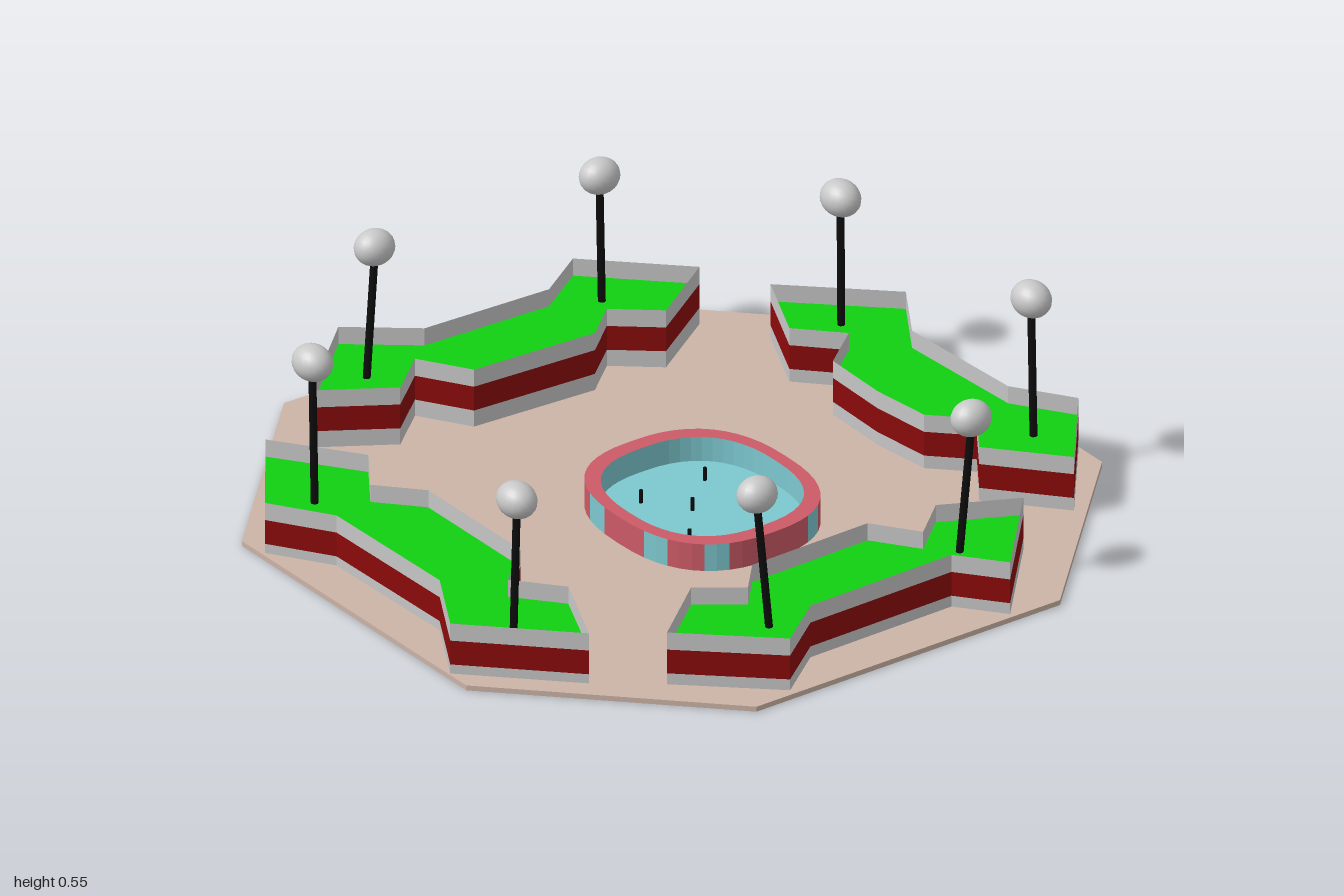
import * as THREE from 'three';

const mat = (name, color, side = THREE.DoubleSide) => {
  const m = new THREE.MeshStandardMaterial({ color, side });
  m.name = name;
  return m;
};
const paving = mat('paving', 0xccb3a6);
const grass = mat('grass', 0x11d011);
const stone = mat('stone', 0xc6c6c6);
const redBand = mat('red band', 0x8a0a0a);
const poolRed = mat('pool rim', 0xcc5a66);
const poolBlue = mat('pool blue', 0x7cc8cf);
const iron = mat('iron', 0x0c0c0c);
const globe = mat('globe', 0xc8c8c8);

// Planter outlines as x, z pairs, with a small lift for each
const planters = [
  { name: 'frontPlanter', lift: 0, outline: [-.66, .78, -.44, .62, -.31, .71, -.2, .61, .19, .61, .3, .73,
    .42, .63, .65, .735, .4, .985, .2, .87, -.23, .875, -.39, .98] },
  { name: 'backPlanter', lift: .01, outline: [-.55, -.72, -.315, -.97, -.14, -.86, .24, -.88, .395, -.985, .64, -.79,
    .455, -.63, .33, -.715, .235, -.62, .065, -.6, -.13, -.605, -.225, -.725, -.335, -.62] },
  { name: 'rightSidePlanter', lift: .02, outline: [-.715, -.62, -.58, -.415, -.675, -.3, -.59, -.2, -.615, .16, -.75, .245,
    -.65, .365, -.77, .555, -1, .3, -.865, .13, -.845, -.245, -.94, -.39] },
  { name: 'leftSidePlanter', lift: .005, outline: [.73, -.565, .985, -.335, .865, -.24, .87, .205, .98, .35, .77, .58,
    .615, .39, .7, .275, .61, .195, .605, -.17, .725, -.255, .63, -.365] },
];

// Lamps: globe x, y, z, then post foot x, z
const lamps = [
  [-.40, .505, .825, -.39, .825], [.445, .475, .81, .445, .82],
  [-.355, .475, -.795, -.345, -.79], [.405, .505, -.83, .415, -.83],
  [-.82, .49, .32, -.815, .35], [-.78, .495, -.355, -.79, -.37],
  [.80, .49, -.35, .79, -.32], [.82, .50, .335, .825, .30],
];

const toPoints = (flat) => {
  const pts = [];
  for (let i = 0; i < flat.length; i += 2) pts.push(new THREE.Vector2(flat[i], flat[i + 1]));
  return pts;
};

function add(parent, name, geometry, material) {
  const mesh = new THREE.Mesh(geometry, material);
  mesh.name = name;
  parent.add(mesh);
  return mesh;
}

// Horizontal sheet from a loop of x, z points, facing up
function sheet(pts, y) {
  const g = new THREE.ShapeGeometry(new THREE.Shape(pts.map((p) => new THREE.Vector2(p.x, -p.y))));
  return g.rotateX(-Math.PI / 2).translate(0, y, 0);
}

// Flat-faced band joining two closed loops at two heights
function band(a, ya, b, yb) {
  const pos = [];
  const n = a.length;
  for (let i = 0; i < n; i++) {
    const j = (i + 1) % n;
    const p = [a[i].x, ya, a[i].y], q = [a[j].x, ya, a[j].y];
    const r = [b[j].x, yb, b[j].y], s = [b[i].x, yb, b[i].y];
    pos.push(...p, ...r, ...q, ...p, ...s, ...r);
  }
  const g = new THREE.BufferGeometry();
  g.setAttribute('position', new THREE.Float32BufferAttribute(pos, 3));
  g.computeVertexNormals();
  return g;
}

// Rounded-square loop for the pool
function poolLoop(rx, rz, n = 48) {
  const soft = (v) => Math.sign(v) * Math.abs(v) ** 0.8;
  return Array.from({ length: n }, (_, i) => {
    const t = -(i / n) * Math.PI * 2;
    return new THREE.Vector2(rx * soft(Math.cos(t)), rz * soft(Math.sin(t)));
  });
}

function rod(parent, name, from, to, radius, material) {
  const d = to.clone().sub(from);
  const m = add(parent, name, new THREE.CylinderGeometry(radius, radius, d.length(), 10), material);
  m.position.copy(from).addScaledVector(d, 0.5);
  m.quaternion.setFromUnitVectors(new THREE.Vector3(0, 1, 0), d.normalize());
  return m;
}

function buildPlanter({ name, lift, outline }) {
  const group = new THREE.Group();
  group.name = name;
  let pts = toPoints(outline);
  // Same winding for every outline, so walls face outward
  if (THREE.ShapeUtils.area(pts) > 0) pts = pts.reverse();
  add(group, 'lowerWall', band(pts, .014, pts, .04 + lift), stone);
  add(group, 'redWall', band(pts, .04 + lift, pts, .108 + lift), redBand);
  add(group, 'upperWall', band(pts, .108 + lift, pts, .157 + lift), stone);
  add(group, 'lawn', sheet(pts, .108 + lift), grass);
  return group;
}

function buildPool() {
  const pool = new THREE.Group();
  pool.name = 'pool';
  pool.position.set(.095, 0, -.03);
  const outer = poolLoop(.3, .265), inner = poolLoop(.255, .23);
  // Patchy outer wall in two colours
  const wall = band(outer, .012, outer, .09);
  for (let i = 0; i < outer.length; i++) wall.addGroup(i * 6, 6, i % 5 < 3 ? 0 : 1);
  add(pool, 'outerWall', wall, [poolRed, poolBlue]);
  add(pool, 'rim', band(outer, .09, inner, .09), poolRed);
  add(pool, 'innerWall', band(inner, .02, inner, .09), poolBlue);
  add(pool, 'water', sheet(inner, .022), poolBlue);
  // Water jets
  for (const [x, z] of [[-.125, -.1], [.12, -.085], [-.015, .02], [-.125, .1], [.115, .125]])
    rod(pool, 'jet', new THREE.Vector3(x, .02, z), new THREE.Vector3(x, .058, z), .005, iron);
  // Small ladder on the front side
  for (const x of [-.05, -.03])
    rod(pool, 'ladderRail', new THREE.Vector3(x, .022, .165), new THREE.Vector3(x - .005, .075, .225), .003, stone);
  for (const t of [.3, .6])
    rod(pool, 'ladderRung', new THREE.Vector3(-.052, .022 + .053 * t, .165 + .06 * t),
      new THREE.Vector3(-.032, .022 + .053 * t, .165 + .06 * t), .002, stone);
  return pool;
}

export function createModel() {
  const model = new THREE.Group();
  model.name = 'plaza';

  // Octagonal paving slab
  const corners = toPoints([-.44, -1, .475, -1, 1, -.48, 1, .47, .475, .99, -.475, .99, -1, .47, -.96, -.48]);
  const slab = new THREE.ExtrudeGeometry(
    new THREE.Shape(corners.map((p) => new THREE.Vector2(p.x, -p.y))), { depth: .014, bevelEnabled: false });
  add(model, 'pavingSlab', slab.rotateX(-Math.PI / 2), paving);

  planters.forEach((p) => model.add(buildPlanter(p)));
  model.add(buildPool());

  // Globe lamps
  lamps.forEach(([x, y, z, fx, fz]) => {
    const lamp = new THREE.Group();
    lamp.name = 'lamp';
    rod(lamp, 'lampPost', new THREE.Vector3(fx, .1, fz), new THREE.Vector3(x, y - .03, z), .01, iron);
    const ball = add(lamp, 'lampGlobe', new THREE.SphereGeometry(1, 20, 14), globe);
    ball.position.set(x, y, z);
    const alongX = Math.abs(z) > Math.abs(x);
    ball.scale.set(alongX ? .059 : .048, .048, alongX ? .049 : .055);
    model.add(lamp);
  });
  return model;
}
